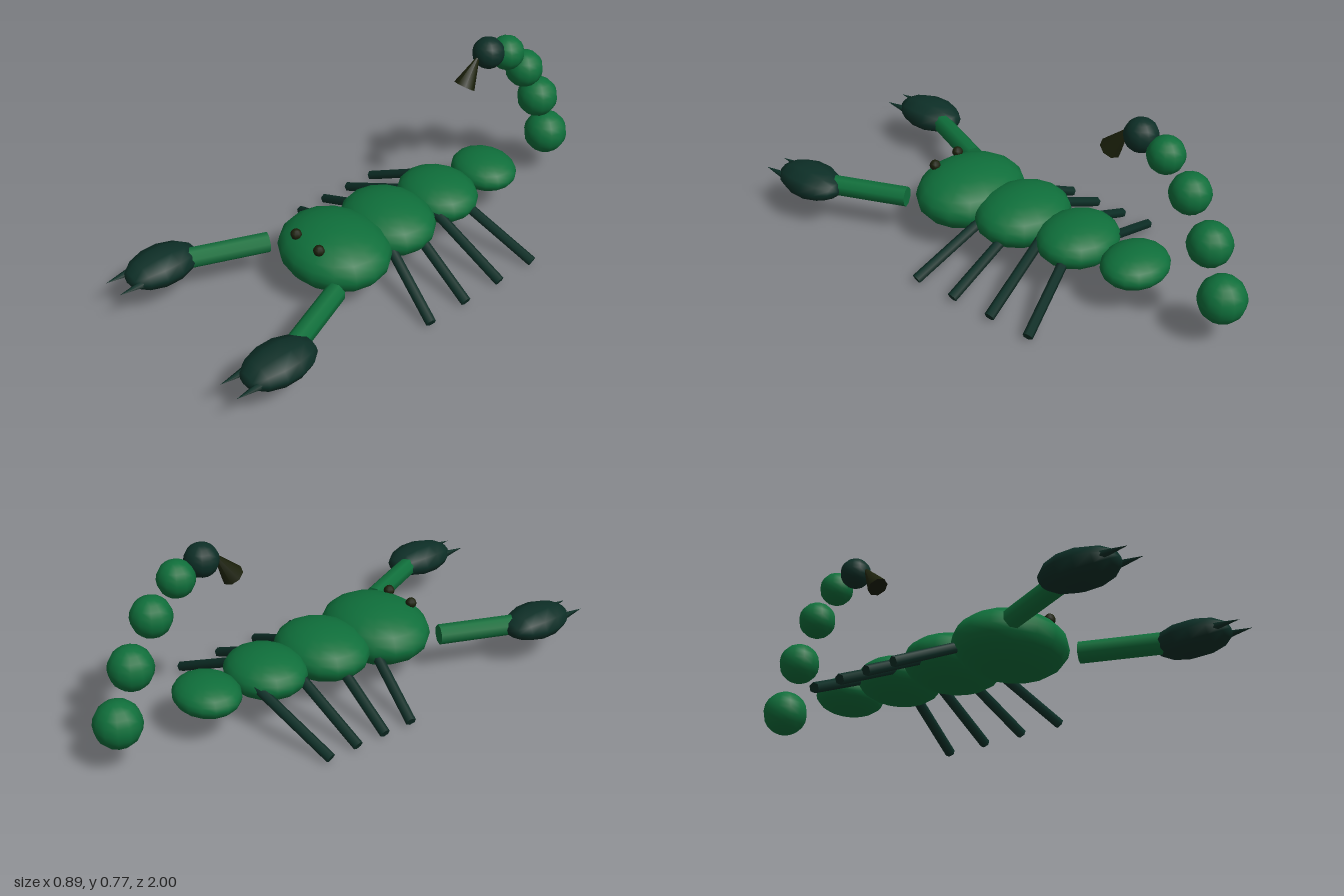
import * as THREE from 'three';

const shell = new THREE.MeshStandardMaterial({ color: 0x0f6f3b });
shell.name = 'shell green';
const dark = new THREE.MeshStandardMaterial({ color: 0x0d2f27 });
dark.name = 'dark teal';
const black = new THREE.MeshStandardMaterial({ color: 0x1b200b });
black.name = 'near black';

export function createModel() {
  const model = new THREE.Group();
  model.name = 'scorpion';

  const add = (name, geometry, material, x = 0, y = 0, z = 0) => {
    const mesh = new THREE.Mesh(geometry, material);
    mesh.name = name;
    mesh.position.set(x, y, z);
    model.add(mesh);
    return mesh;
  };

  // Cylinder or cone running from point a (radius ra) to point b (radius rb)
  const rod = (name, material, a, b, ra, rb, sides, turn = 0) => {
    const from = new THREE.Vector3(...a);
    const to = new THREE.Vector3(...b);
    const dir = to.clone().sub(from);
    const geometry = new THREE.CylinderGeometry(rb, ra, dir.length(), sides);
    geometry.rotateY(turn);
    // lay along +z, keeping the cross-section upright, then aim
    geometry.rotateX(Math.PI / 2);
    const mesh = add(name, geometry, material);
    mesh.position.copy(from).add(to).multiplyScalar(0.5);
    mesh.lookAt(to);
    return mesh;
  };

  // Flattened body segments: z, half width, half height, half length
  [
    [0.25, 0.235, 0.115, 0.2],
    [-0.015, 0.203, 0.098, 0.175],
    [-0.28, 0.173, 0.084, 0.152],
    [-0.54, 0.142, 0.068, 0.123],
  ].forEach(([z, rx, ry, rz], i) => {
    add('bodySegment' + (i + 1), new THREE.SphereGeometry(1, 16, 12).scale(rx, ry, rz), shell, 0, 0.17, z);
  });

  // Curled tail of separate beads, ending in the dark sting bulb
  [
    [0.19, -0.907, 0.09],
    [0.391, -0.839, 0.083],
    [0.56, -0.746, 0.076],
    [0.671, -0.64, 0.069],
    [0.71, -0.535, 0.063],
  ].forEach(([y, z, r], i) => {
    const last = i === 4;
    add(last ? 'stingBulb' : 'tailBead' + (i + 1), new THREE.SphereGeometry(r, 12, 10), last ? dark : shell, 0, y, z);
  });
  rod('sting', black, [0, 0.61, -0.41], [0, 0.726, -0.49], 0.043, 0, 8);

  for (const s of [-1, 1]) {
    const side = s > 0 ? 'left' : 'right';

    // Eyes
    add(side + 'Eye', new THREE.SphereGeometry(0.022, 8, 6), black, s * 0.066, 0.262, 0.377);

    // Pincer arm, claw and two finger points
    rod(side + 'Arm', shell, [s * 0.197, 0.167, 0.41], [s * 0.32, 0.167, 0.7], 0.04, 0.04, 8, Math.PI / 8);
    const claw = new THREE.SphereGeometry(1, 10, 7).rotateX(Math.PI / 2).scale(0.1, 0.064, 0.15);
    add(side + 'Claw', claw, dark, s * 0.35, 0.167, 0.79);
    for (const x of [0.305, 0.395]) {
      rod(side + 'Finger', dark, [s * x, 0.167, 0.88], [s * x, 0.167, 1], 0.019, 0, 6);
    }

    // Four legs per side, fanned by the same turn on both sides
    [-0.345, -0.193, -0.04, 0.112].forEach((z, i) => {
      const slope = (i - 1.5) * 0.152;
      const at = (x, y) => [s * x, y, z + slope * s * (x - 0.25)];
      rod(side + 'Leg' + (i + 1), dark, at(0.07, 0.188), at(0.427, 0.02), 0.02, 0.02, 6);
    });
  }

  return model;
}
